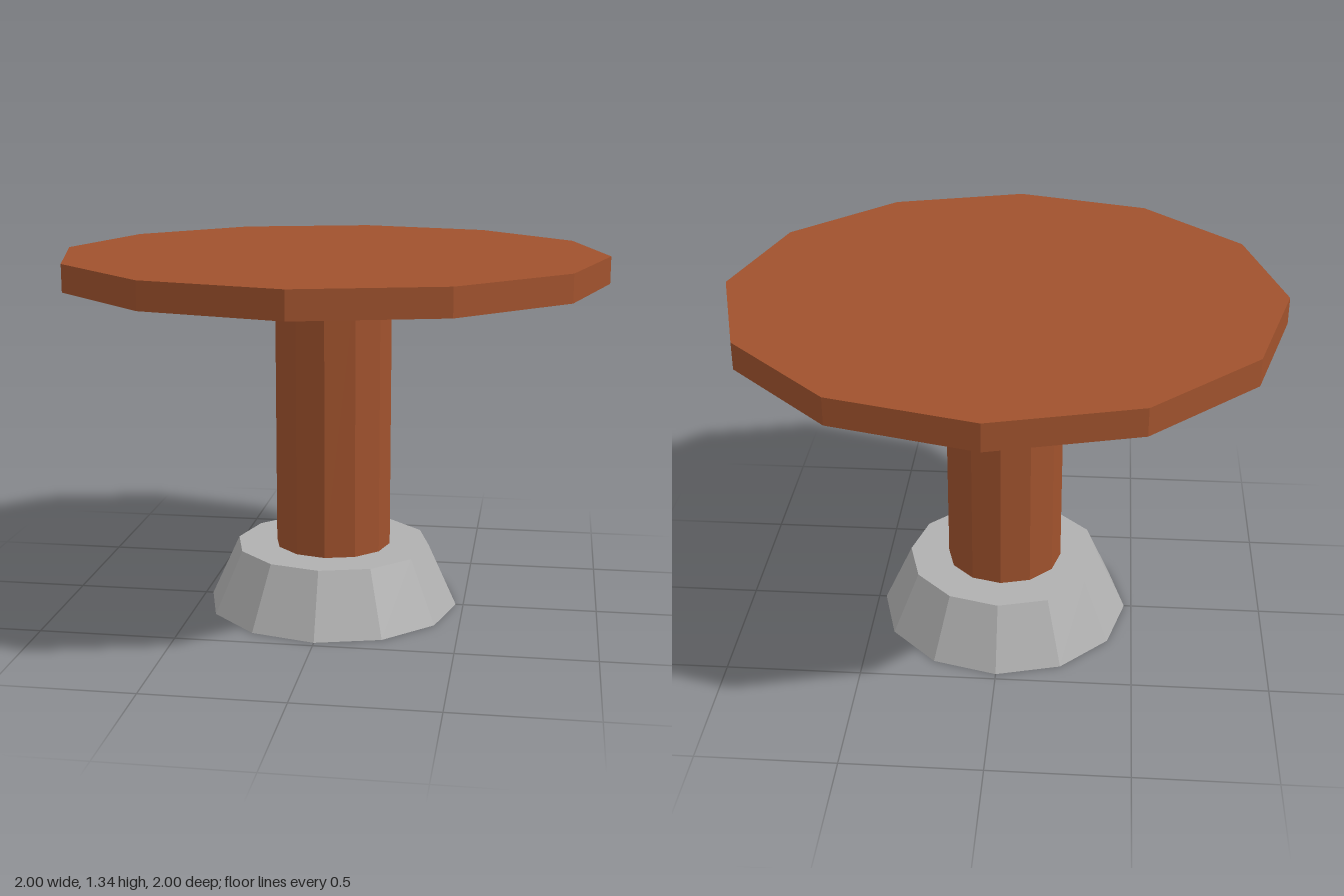
import * as THREE from 'three';

const SIDES = 12;

export function createModel() {
  const group = new THREE.Group();
  const wood = new THREE.MeshStandardMaterial({ name: 'sienna wood', color: 0xa0522d, flatShading: true });
  const metal = new THREE.MeshStandardMaterial({ name: 'grey metal', color: 0xb0b0b0, flatShading: true });

  // Twelve-sided solid spanning two heights
  function addPart(name, topRadius, bottomRadius, y0, y1, material) {
    const geometry = new THREE.CylinderGeometry(topRadius, bottomRadius, y1 - y0, SIDES);
    const mesh = new THREE.Mesh(geometry, material);
    mesh.name = name;
    mesh.position.y = (y0 + y1) / 2;
    group.add(mesh);
  }

  addPart('base', 0.365, 0.472, 0, 0.233, metal);
  addPart('column', 0.217, 0.217, 0.233, 1.238, wood);
  addPart('tableTop', 1, 1, 1.238, 1.336, wood);

  return group;
}
